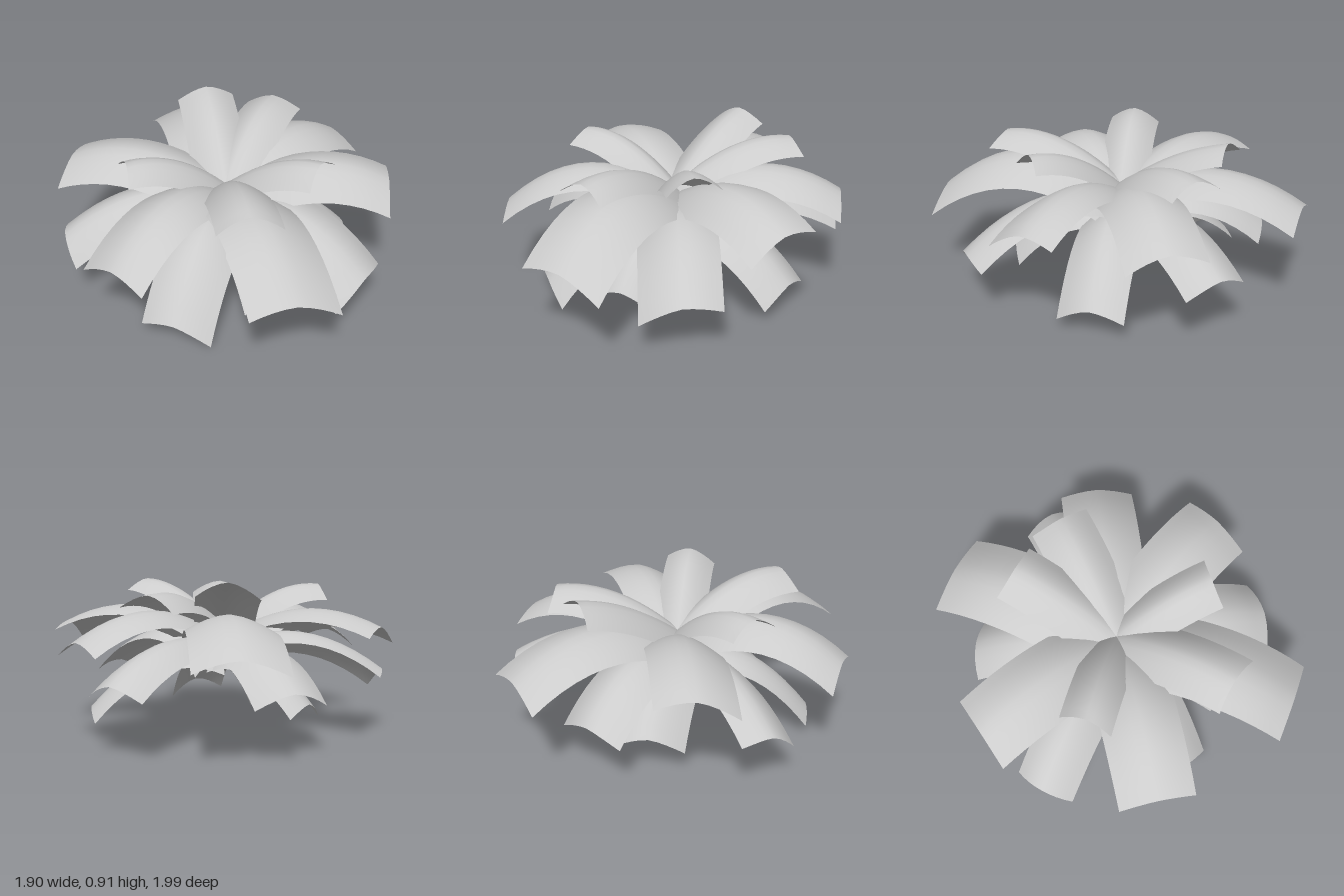
import * as THREE from 'three';

// Each leaf is given by its two tip corners [ax, ay, az, bx, by, bz], clockwise from above.
// base: height of the root, mid: ridge height halfway out, rise: ridge height above the tip corners,
// bow: how far the tip edge bulges outward.
const tiers = [
  {
    name: 'topLeaf', base: 0.59, mid: 0.805, rise: 0.08, bow: -0.02,
    tips: [
      [-0.49, 0.82, -0.47, -0.19, 0.84, -0.63],
      [-0.12, 0.75, -0.73, 0.23, 0.77, -0.71],
      [0.62, 0.81, -0.06, 0.56, 0.78, 0.23],
      [0.53, 0.76, 0.57, 0.21, 0.74, 0.72],
      [-0.36, 0.78, 0.53, -0.54, 0.77, 0.29],
    ],
  },
  {
    name: 'longLeaf', base: 0.54, mid: 0.735, rise: 0.075, bow: 0,
    tips: [
      [-0.80, 0.48, -0.74, -0.38, 0.50, -1.00],
      [0.20, 0.53, -0.97, 0.59, 0.50, -0.78],
      [0.83, 0.60, -0.50, 0.95, 0.51, -0.09],
      [0.88, 0.39, 0.68, 0.48, 0.46, 0.98],
      [-0.09, 0.46, 0.99, -0.50, 0.43, 0.84],
      [-0.93, 0.54, 0.32, -0.95, 0.61, -0.12],
    ],
  },
  {
    name: 'lowerLeaf', base: 0.49, mid: 0.58, rise: 0.08, bow: 0.04,
    tips: [
      [-0.79, 0.27, -0.30, -0.53, 0.27, -0.62],
      [-0.07, 0.32, -0.95, 0.30, 0.31, -0.91],
      [0.93, 0.28, 0.04, 0.80, 0.20, 0.46],
      [-0.68, 0.23, 0.62, -0.86, 0.33, 0.33],
    ],
  },
  {
    name: 'bottomLeaf', base: 0.46, mid: 0.46, rise: 0.08, bow: 0.03,
    tips: [
      [0.47, 0.10, -0.62, 0.68, 0.07, -0.30],
      [0.53, 0.10, 0.30, 0.32, 0.14, 0.57],
      [0.18, 0.00, 0.73, -0.22, 0.07, 0.75],
      [-0.60, 0.13, 0.04, -0.60, 0.18, -0.34],
    ],
  },
];

// Arched, cambered strip of even width; the roots cross inside the crown
function leafGeometry(tip, { base, mid, rise, bow }) {
  const rows = 12, cols = 8;
  const a = new THREE.Vector3(...tip.slice(0, 3));
  const b = new THREE.Vector3(...tip.slice(3));
  const root = new THREE.Vector3(0, base, 0);
  const end = a.clone().add(b).multiplyScalar(0.5);
  const half = b.clone().sub(a).multiplyScalar(0.5);
  const out = new THREE.Vector3(end.x, 0, end.z).normalize();
  end.y += rise;
  const control = root.clone().add(end).multiplyScalar(0.5);
  control.y = 2 * mid - (base + end.y) / 2;
  const spine = new THREE.QuadraticBezierCurve3(root, control, end);

  const positions = [], index = [];
  for (let i = 0; i <= rows; i++) {
    const t = i / rows;
    // The fold is deepest at the root
    const fold = rise * (1.5 - 0.5 * t);
    for (let j = 0; j <= cols; j++) {
      const s = (j / cols) * 2 - 1;
      const p = spine.getPoint(t)
        .addScaledVector(half, s)
        .addScaledVector(out, bow * t * t * (1 - s * s));
      p.y -= fold * Math.abs(s) ** 1.6;
      positions.push(p.x, p.y, p.z);
      if (i < rows && j < cols) {
        const k = i * (cols + 1) + j, n = k + cols + 1;
        index.push(k, k + 1, n, k + 1, n + 1, n);
      }
    }
  }
  const geometry = new THREE.BufferGeometry();
  geometry.setAttribute('position', new THREE.Float32BufferAttribute(positions, 3));
  geometry.setIndex(index);
  geometry.computeVertexNormals();
  return geometry;
}

export function createModel() {
  const plant = new THREE.Group();
  plant.name = 'leafRosette';
  const material = new THREE.MeshStandardMaterial({ color: 0xcccccc, side: THREE.DoubleSide });
  for (const tier of tiers) {
    const ring = new THREE.Group();
    ring.name = tier.name + 'Ring';
    tier.tips.forEach((tip, i) => {
      const leaf = new THREE.Mesh(leafGeometry(tip, tier), material);
      leaf.name = tier.name + (i + 1);
      ring.add(leaf);
    });
    plant.add(ring);
  }
  return plant;
}
